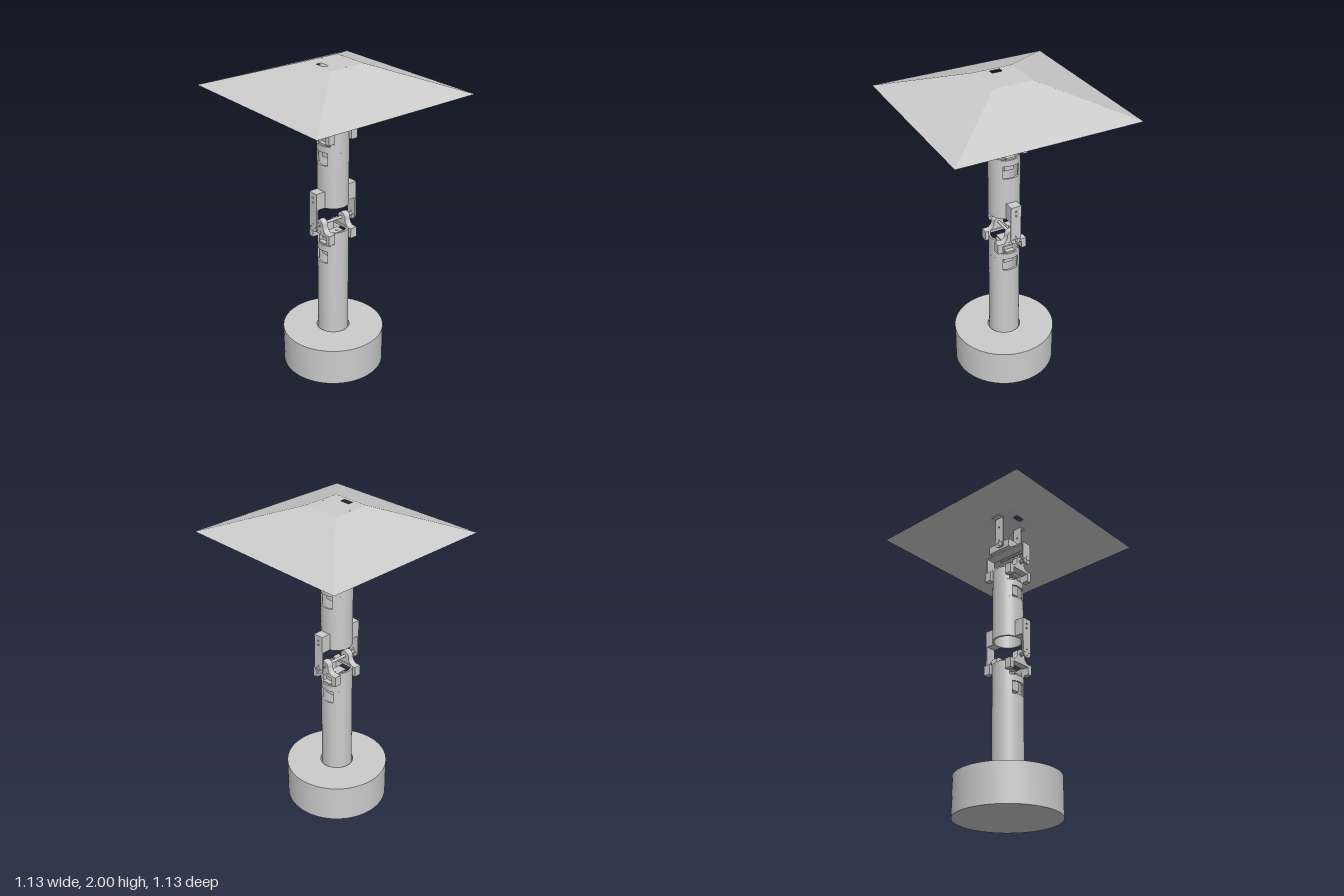
import * as THREE from 'three';
import { toCreasedNormals } from 'three/addons/utils/BufferGeometryUtils.js';

const mat = new THREE.MeshStandardMaterial({ color: 0xcccccc });
const thin = new THREE.MeshStandardMaterial({ color: 0xcccccc, side: THREE.DoubleSide });
const R = 0.097, WALL = 0.012;   // column tube
const AXIS_Z = -0.009;           // column axis

function add(parent, name, geo, material = mat) {
  const mesh = new THREE.Mesh(geo, material);
  mesh.name = name;
  parent.add(mesh);
  return mesh;
}

// Box given by its min and max on each axis
function box(parent, name, x0, x1, y0, y1, z0, z1) {
  const geo = new THREE.BoxGeometry(x1 - x0, y1 - y0, z1 - z0);
  return add(parent, name, geo.translate((x0 + x1) / 2, (y0 + y1) / 2, (z0 + z1) / 2));
}

const extrude = (shape, depth) => toCreasedNormals(
  new THREE.ExtrudeGeometry(shape, { depth, bevelEnabled: false, curveSegments: 32 }), 0.6);

// Cylinder lying along x
function rod(parent, name, r, x0, x1, y, sides = 20) {
  const geo = new THREE.CylinderGeometry(r, r, x1 - x0, sides).rotateZ(Math.PI / 2);
  return add(parent, name, geo.translate((x0 + x1) / 2, y, 0));
}

// Shape drawn in (z, y), extruded from x0 to x1
const sideplate = (shape, x0, x1) =>
  extrude(shape, x1 - x0).rotateY(-Math.PI / 2).translate(x1, 0, 0);

function hole(shape, x, y, r) {
  shape.holes.push(new THREE.Path().absarc(x, y, r, 0, Math.PI * 2, true));
}

// Strip with a round lower end about (0, 0), square top, and horn screw holes
function armShape(half, top, extraHoles = []) {
  const s = new THREE.Shape();
  s.moveTo(half, top);
  s.lineTo(-half, top);
  s.lineTo(-half, 0);
  s.absarc(0, 0, half, Math.PI, Math.PI * 2, false);
  s.closePath();
  hole(s, 0, 0, 0.008);
  for (let i = 0; i < 4; i++) {
    const a = i * Math.PI / 2;
    hole(s, 0.02 * Math.cos(a), 0.02 * Math.sin(a), 0.004);
  }
  extraHoles.forEach(y => hole(s, 0, y, 0.006));
  return s;
}

// Length of tube; gap > 0 cuts windows of that half width on both x sides
function tubeLength(parent, y0, y1, gap) {
  const r = R - WALL;
  const place = shape => add(parent, 'tubeWall',
    extrude(shape, y1 - y0).rotateX(-Math.PI / 2).translate(0, y0, 0));
  if (!gap) {
    const s = new THREE.Shape().absarc(0, 0, R, 0, Math.PI * 2, false);
    hole(s, 0, 0, r);
    place(s);
    return;
  }
  const a = Math.asin(gap / R), b = Math.asin(gap / r);
  for (const turn of [0, Math.PI]) {
    const s = new THREE.Shape();
    s.absarc(0, 0, R, turn + a, turn + Math.PI - a, false);
    s.absarc(0, 0, r, turn + Math.PI - b, turn + b, true);
    s.closePath();
    place(s);
  }
}

// Column section with servo, yoke and pivot; y is measured from the pivot
function column(name, pivotY, bottomY, side) {
  const g = new THREE.Group();
  g.name = name;
  g.position.set(0, pivotY, AXIS_Z);

  tubeLength(g, bottomY - pivotY, -0.26, 0);
  tubeLength(g, -0.26, -0.178, 0.05);
  tubeLength(g, -0.178, -0.138, 0);
  tubeLength(g, -0.138, -0.045, 0.065);

  // Servo standing in the tube
  box(g, 'servoBody', -0.06, 0.06, -0.225, -0.105, -0.03, 0.03);
  box(g, 'servoFlange', -0.088, 0.088, -0.136, -0.126, -0.03, 0.03);
  add(g, 'servoShaft', new THREE.CylinderGeometry(0.012, 0.012, 0.03, 16).translate(0.03, -0.09, 0));
  box(g, 'servoHorn', -0.05, 0.06, -0.085, -0.078, -0.03, 0.03);

  // Yoke frames and flared lugs
  const frame = new THREE.Shape();
  [[-R, -0.11], [-0.065, -0.11], [-0.065, -0.062], [0.065, -0.062], [0.065, -0.11], [R, -0.11], [R, -0.045], [-R, -0.045]]
    .forEach(([z, y], i) => (i ? frame.lineTo(z, y) : frame.moveTo(z, y)));
  const lug = new THREE.Shape();
  lug.moveTo(-0.062, -0.046);
  lug.lineTo(0.062, -0.046);
  lug.quadraticCurveTo(0.033, -0.03, 0.033, 0);
  lug.absarc(0, 0, 0.033, 0, Math.PI, false);
  lug.quadraticCurveTo(-0.033, -0.03, -0.062, -0.046);
  for (const s of [-1, 1]) {
    const span = (a, b) => (s > 0 ? [a, b] : [-b, -a]);
    add(g, 'yokeFrame', sideplate(frame, ...span(0.062, 0.108)));
    add(g, 'yokeLug', sideplate(lug, ...span(0.067, 0.107)));
    rod(g, 'pivotBush', 0.014, ...span(0.107, 0.116), 0);
  }
  rod(g, 'pivotRod', 0.009, side > 0 ? -0.155 : -0.165, side > 0 ? 0.165 : 0.155, 0);
  return g;
}

export function createModel() {
  const model = new THREE.Group();
  model.name = 'jointedLamp';

  // Round base with a socket
  const profile = [[0, 0], [0.323, 0], [0.323, 0.245], [0.105, 0.245], [0.105, 0.05], [0, 0.05]]
    .map(([x, y]) => new THREE.Vector2(x, y));
  const base = add(model, 'base', toCreasedNormals(new THREE.LatheGeometry(profile, 72), 0.6));
  base.position.z = AXIS_Z;

  const lower = column('lowerColumn', 1.0, 0.05, 1);
  const upper = column('upperColumn', 1.655, 1.12, -1);
  model.add(lower, upper);

  // Arms from each pivot up to the next part
  for (const s of [-1, 1]) {
    const span = (a, b) => (s > 0 ? [a, b] : [-b, -a]);
    add(lower, 'elbowArm', sideplate(armShape(0.034, 0.228, [0.165, 0.195]), ...span(0.145, 0.155)));
    add(upper, 'headArm', sideplate(armShape(0.034, 0.115), ...span(0.15, 0.16)));
    box(upper, 'elbowBlock', ...span(0.09, 0.145), -0.535, -0.427, -0.034, 0.034);
  }
  box(upper, 'headCrossPlate', -0.16, 0.16, 0.108, 0.116, -0.034, 0.034);

  // Tilt servo in its holder under the shade
  const head = new THREE.Group();
  head.name = 'headServo';
  head.position.set(0, 1.803, -0.003);
  model.add(head);
  box(head, 'tiltServoBody', -0.055, 0.115, -0.027, 0.027, -0.06, 0.055);
  box(head, 'holderFloor', -0.063, 0.125, -0.034, -0.027, -0.035, 0.03);
  const plate = new THREE.Shape();
  plate.moveTo(-0.063, -0.034);
  plate.lineTo(0.125, -0.034);
  plate.lineTo(0.125, 0.02);
  plate.quadraticCurveTo(0.125, 0.032, 0.113, 0.032);
  plate.lineTo(-0.051, 0.032);
  plate.quadraticCurveTo(-0.063, 0.032, -0.063, 0.02);
  plate.closePath();
  for (const x of [-0.05, 0.11]) for (const y of [-0.014, 0.014]) hole(plate, x, y, 0.006);
  add(head, 'holderPlate', extrude(plate, 0.007).translate(0, 0, 0.055));
  const shaft = new THREE.CylinderGeometry(0.014, 0.014, 0.18, 18).rotateX(Math.PI / 2);
  add(head, 'tiltShaft', shaft);

  // Shade bracket: two tall arms with flanges screwed to the shade top
  for (const s of [-1, 1]) {
    const z0 = s > 0 ? 0.085 : -0.093;
    add(head, 'shadeArm', extrude(armShape(0.033, 0.193, [0.12]), 0.008).translate(0, 0, z0));
    box(head, 'shadeFlange', -0.033, 0.033, 0.186, 0.194, s > 0 ? 0.085 : -0.125, s > 0 ? 0.125 : -0.085);
  }

  // Shade: sloping skirt and a flat top with slot and screw holes
  const shade = new THREE.Group();
  shade.name = 'shade';
  model.add(shade);
  const ring = (h, y) => [[-h, y, h], [h, y, h], [h, y, -h], [-h, y, -h]];
  const low = ring(0.567, 1.84), high = ring(0.123, 2);
  const pos = [];
  for (let i = 0; i < 4; i++) {
    const j = (i + 1) % 4;
    pos.push(...low[i], ...low[j], ...high[j], ...low[i], ...high[j], ...high[i]);
  }
  const skirt = new THREE.BufferGeometry();
  skirt.setAttribute('position', new THREE.Float32BufferAttribute(pos, 3));
  skirt.computeVertexNormals();
  add(shade, 'shadeSkirt', skirt, thin);

  const top = new THREE.Shape();
  [[-1, -1], [1, -1], [1, 1], [-1, 1]].forEach(([x, y], i) =>
    (i ? top.lineTo(x * 0.123, y * 0.123) : top.moveTo(x * 0.123, y * 0.123)));
  const slot = new THREE.Path();
  slot.moveTo(-0.1, -0.031);
  slot.lineTo(-0.1, 0.033);
  slot.lineTo(-0.067, 0.033);
  slot.lineTo(-0.067, -0.031);
  slot.closePath();
  top.holes.push(slot);
  for (const y of [-0.107, 0.109]) hole(top, 0, y, 0.005);
  add(shade, 'shadeTop', new THREE.ShapeGeometry(top, 16).rotateX(-Math.PI / 2).translate(0, 2, 0), thin);

  return model;
}
